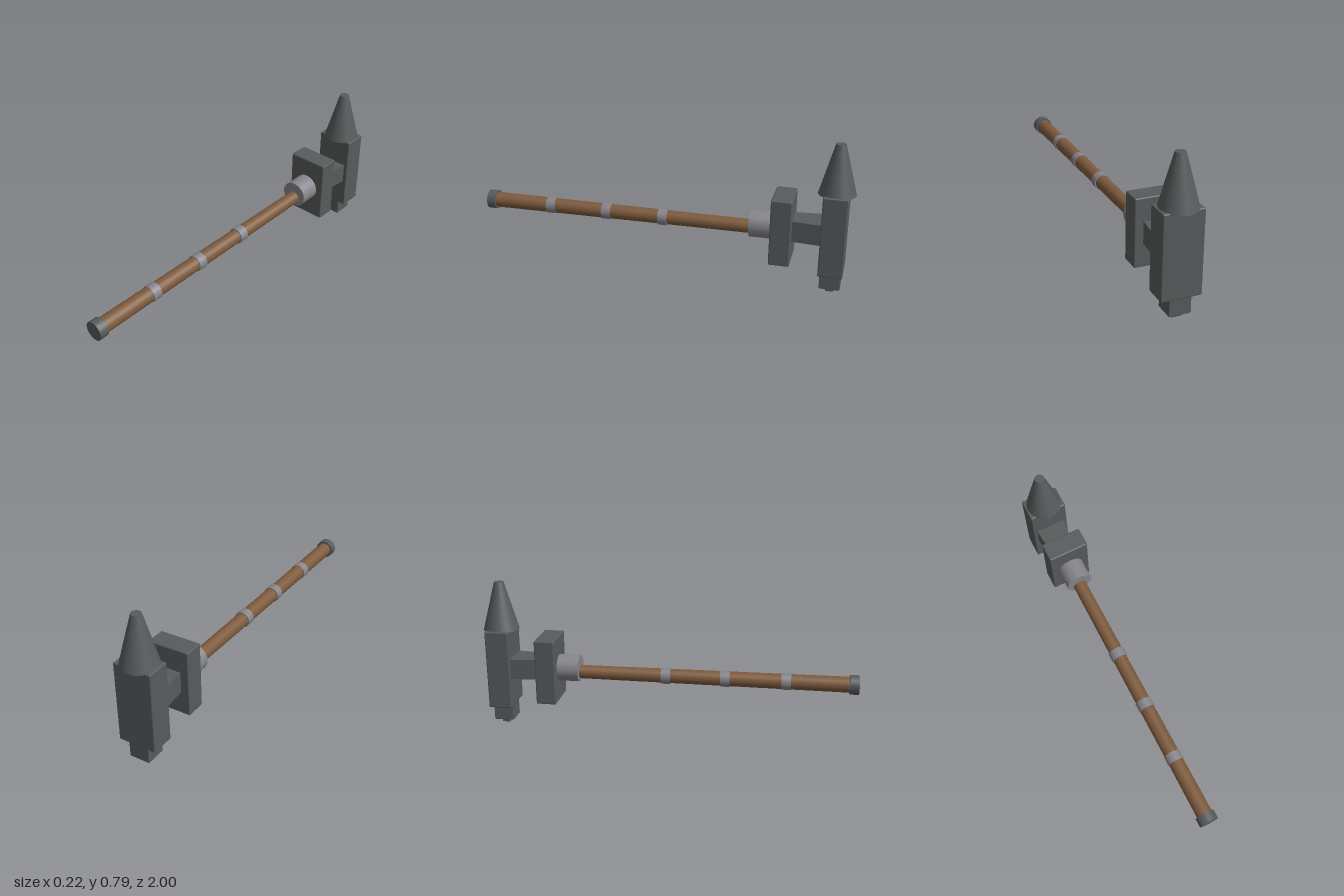
import * as THREE from 'three';
import { RoundedBoxGeometry } from 'three/addons/geometries/RoundedBoxGeometry.js';

export function createModel() {
  const model = new THREE.Group();
  model.name = 'hammer';

  const material = (name, color) => {
    const m = new THREE.MeshStandardMaterial({ color });
    m.name = name;
    return m;
  };
  const iron = material('dark iron', 0x565b5b);
  const steel = material('light steel', 0x85858c);
  const wood = material('brown wood', 0x7d5a3c);

  const add = (name, geometry, mat) => {
    const mesh = new THREE.Mesh(geometry, mat);
    mesh.name = name;
    model.add(mesh);
    return mesh;
  };

  // Round part lying along z, from zBack to zFront
  const rod = (name, zBack, zFront, rBack, rFront, y, mat) => {
    const g = new THREE.CylinderGeometry(rFront, rBack, zFront - zBack, 32);
    g.rotateX(Math.PI / 2);
    g.translate(0, y, (zBack + zFront) / 2);
    return add(name, g, mat);
  };

  // Softly bevelled block given by its limits, centred on x
  const block = (name, width, y0, y1, z0, z1, bevel) => {
    const g = new RoundedBoxGeometry(width, y1 - y0, z1 - z0, 2, bevel);
    g.translate(0, (y0 + y1) / 2, (z0 + z1) / 2);
    return add(name, g, iron);
  };

  // Handle with end cap and three bands
  const axis = 0.309;
  rod('handle', -0.5, 0.955, 0.036, 0.0415, axis, wood);
  rod('endCap', 0.953, 1, 0.051, 0.051, axis, iron);
  [-0.008, 0.307, 0.626].forEach((z, i) =>
    rod('band' + (i + 1), z - 0.025, z + 0.025, 0.0435, 0.0435, axis, steel));

  // Collar joining the handle to the plate
  rod('collar', -0.595, -0.476, 0.072, 0.072, 0.329, steel);
  block('plate', 0.222, 0.152, 0.503, -0.697, -0.59, 0.006);

  // Neck widens toward the head
  const neck = new THREE.BoxGeometry(1, 0.11, 0.16);
  const p = neck.attributes.position;
  for (let i = 0; i < p.count; i++) {
    p.setX(i, p.getX(i) * (p.getZ(i) > 0 ? 0.132 : 0.162));
  }
  neck.computeVertexNormals();
  neck.translate(0, 0.33, -0.77);
  add('neck', neck, iron);

  // Head block with stepped striking end
  block('head', 0.204, 0.113, 0.54, -0.967, -0.842, 0.006);
  block('strikingFace', 0.111, 0.025, 0.12, -0.957, -0.85, 0.004);
  block('strikingTip', 0.047, 0, 0.03, -0.926, -0.882, 0.002);

  // Truncated spike
  const spike = new THREE.CylinderGeometry(0.025, 0.095, 0.259, 32);
  spike.translate(0, 0.533 + 0.1295, -0.904);
  add('spike', spike, iron);

  return model;
}
